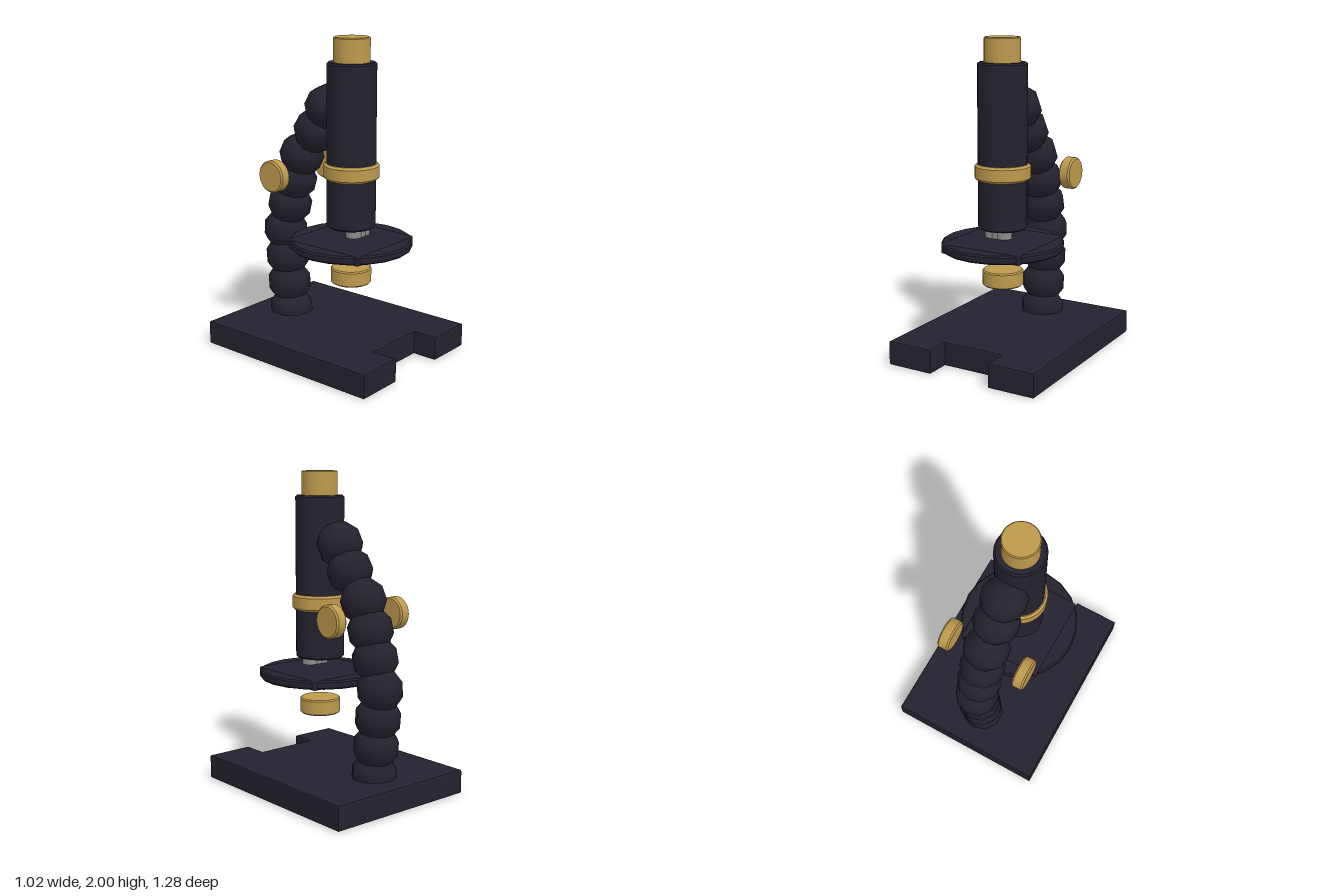
import * as THREE from 'three';
import { toCreasedNormals } from 'three/addons/utils/BufferGeometryUtils.js';
import { RoundedBoxGeometry } from 'three/addons/geometries/RoundedBoxGeometry.js';

const makeMaterial = (name, color) => {
  const m = new THREE.MeshStandardMaterial({ color });
  m.name = name;
  return m;
};

// Solid disc or cylinder standing on y = 0, with a small chamfer on both rims
function chamferedCylinder(r, h, sides, c = 0.01) {
  const profile = [[0, 0], [r - c, 0], [r, c], [r, h - c], [r - c, h], [0, h]]
    .map(([x, y]) => new THREE.Vector2(x, y));
  return toCreasedNormals(new THREE.LatheGeometry(profile, sides), 0.6);
}

export function createModel() {
  const model = new THREE.Group();
  model.name = 'microscope';
  const dark = makeMaterial('darkEnamel', 0x23222e);
  const brass = makeMaterial('brass', 0xbd994d);
  const steel = makeMaterial('steel', 0x8c8c8e);
  const axisZ = 0.127; // optical axis

  const add = (name, geometry, material, x, y, z) => {
    const mesh = new THREE.Mesh(geometry, material);
    mesh.name = name;
    mesh.position.set(x, y, z);
    model.add(mesh);
    return mesh;
  };

  // Base plate with a notch at the front
  const b = 0.01, w = 0.51 - b, d = 0.64 - b, n = 0.205 + b, nd = 0.48 - b;
  const outline = new THREE.Shape([
    [-w, -d], [-n, -d], [-n, -nd], [n, -nd], [n, -d], [w, -d], [w, d], [-w, d],
  ].map(([x, y]) => new THREE.Vector2(x, y)));
  const base = new THREE.ExtrudeGeometry(outline, {
    depth: 0.155 - 2 * b, bevelEnabled: true, bevelSize: b, bevelThickness: b, bevelSegments: 2,
  });
  base.rotateX(-Math.PI / 2);
  add('base', base, dark, 0, b, 0);

  // Optical column
  add('bodyTube', chamferedCylinder(0.153, 1.02, 24), dark, 0, 0.83, axisZ);
  add('eyepiece', chamferedCylinder(0.112, 0.17, 32, 0.006), brass, 0, 1.83, axisZ);
  add('collar', chamferedCylinder(0.173, 0.1, 32, 0.014), brass, 0, 1.135, axisZ);
  add('condenser', chamferedCylinder(0.128, 0.1, 32, 0.008), brass, 0, 0.465, axisZ);
  for (const x of [-0.04, 0, 0.04]) {
    add('objectiveLens', chamferedCylinder(0.05, 0.1, 20, 0.004), steel, x, 0.775, 0.178);
  }

  // Stage: round table with a square plate through it
  add('stageDisc', chamferedCylinder(0.382, 0.054, 20), dark, 0, 0.696, axisZ);
  add('stagePlate', new RoundedBoxGeometry(0.555, 0.066, 0.555, 2, 0.01), dark, 0, 0.723, axisZ);

  // Curved arm made of overlapping faceted beads, tilted along its path
  const path = [
    [0.17, -0.385], [0.35, -0.4], [0.53, -0.415], [0.71, -0.43], [0.89, -0.387],
    [1.06, -0.343], [1.23, -0.28], [1.4, -0.157], [1.555, -0.065],
  ];
  const bead = new THREE.SphereGeometry(0.146, 10, 5);
  bead.rotateY(Math.PI / 2);
  path.forEach(([y, z], i) => {
    const [y0, z0] = path[Math.max(i - 1, 0)];
    const [y1, z1] = path[Math.min(i + 1, path.length - 1)];
    add('armBead', bead, dark, 0, y, z).rotation.x = Math.atan2(z1 - z0, y1 - y0);
  });

  // Focus knobs on both sides
  const knob = chamferedCylinder(0.101, 0.074, 32, 0.01);
  knob.translate(0, -0.037, 0);
  knob.rotateZ(Math.PI / 2);
  for (const side of [-1, 1]) add('focusKnob', knob, brass, side * 0.256, 1.132, -0.283);

  return model;
}
